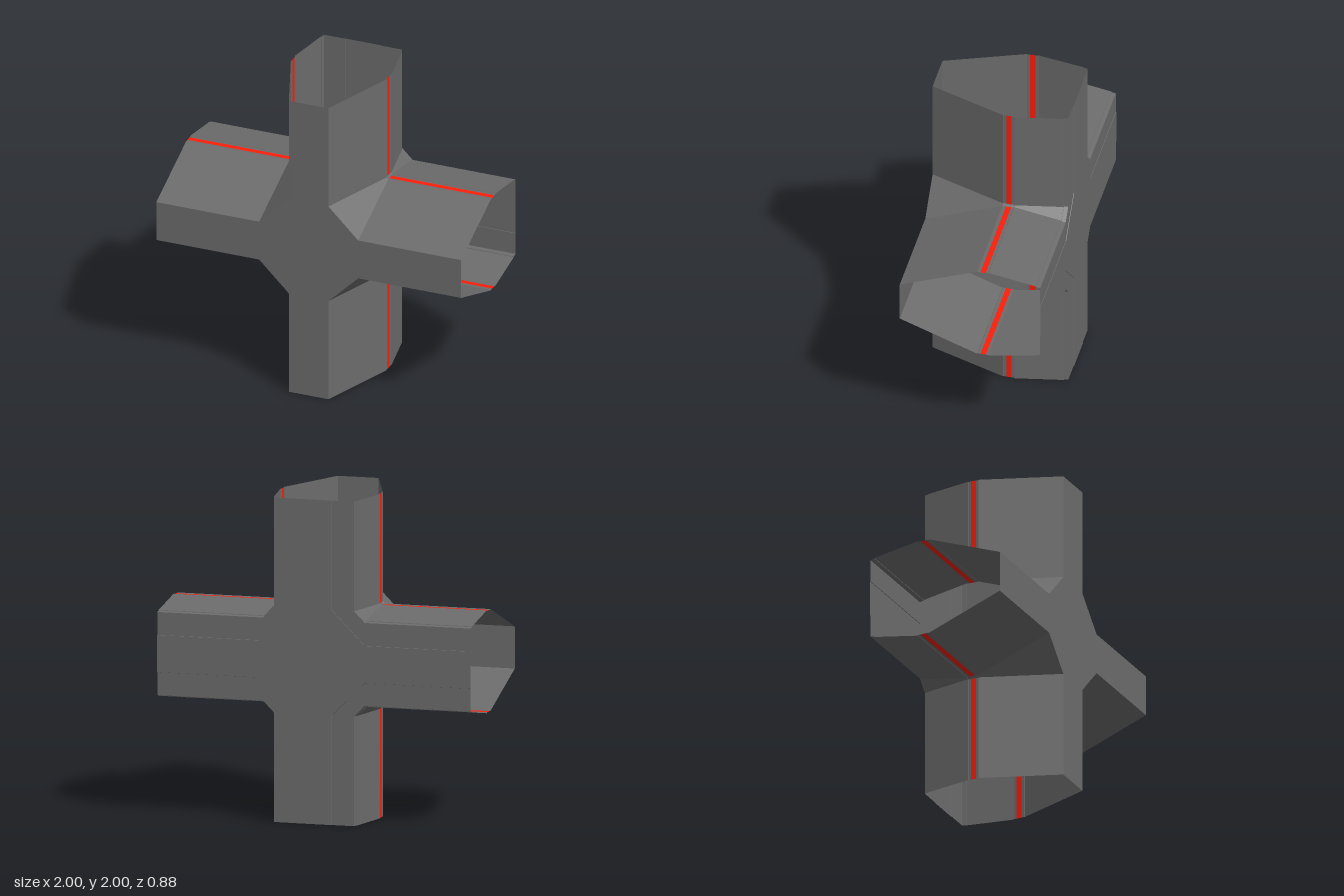
import * as THREE from 'three';

const HUB = 0.325; // distance from the centre at which each arm begins
const END = 1;

// half of the tunnel cross-section, front to back: [half width, z]
const half = [
  [0.13, 0.44], [0.314, -0.043], [0.311, -0.045], [0.312, -0.064], [0.313, -0.097],
  [0.313, -0.113], [0.317, -0.115], [0.265, -0.41], [0.261, -0.411], [0.256, -0.437],
  [0.115, -0.437], [0.114, -0.44],
];
const STRIPE = 3; // index of the segment that carries the red stripe
const profile = [...half, ...half.map(([w, z]) => [-w, z]).reverse()];
const n = profile.length;
const isStripe = (i) => i === STRIPE || i === n - 2 - STRIPE;

// flat-faced geometry from a list of four-cornered faces
function facesToGeometry(quads) {
  const pos = [];
  for (const [a, b, c, d] of quads) pos.push(...a, ...b, ...c, ...a, ...c, ...d);
  const geometry = new THREE.BufferGeometry();
  geometry.setAttribute('position', new THREE.Float32BufferAttribute(pos, 3));
  geometry.computeVertexNormals();
  return geometry;
}

// straight arm pointing up, only the segments that pass the filter
function armGeometry(filter) {
  const quads = [];
  for (let i = 0; i < n; i++) {
    if (!filter(i)) continue;
    const [w0, z0] = profile[i];
    const [w1, z1] = profile[(i + 1) % n];
    quads.push([[w0, HUB, z0], [w1, HUB, z1], [w1, END, z1], [w0, END, z0]]);
  }
  return facesToGeometry(quads);
}

// chamfered wall joining two neighbouring arms
function cornerGeometry() {
  const quads = [];
  for (let i = 0; i < half.length - 1; i++) {
    const [w0, z0] = half[i];
    const [w1, z1] = half[i + 1];
    quads.push([[HUB, w0, z0], [HUB, w1, z1], [w1, HUB, z1], [w0, HUB, z0]]);
  }
  return facesToGeometry(quads);
}

// eight-sided plate closing the crossing
function hubPlate(w) {
  const shape = new THREE.Shape([
    [HUB, -w], [HUB, w], [w, HUB], [-w, HUB],
    [-HUB, w], [-HUB, -w], [-w, -HUB], [w, -HUB],
  ].map(([x, y]) => new THREE.Vector2(x, y)));
  return new THREE.ShapeGeometry(shape);
}

export function createModel() {
  const grey = new THREE.MeshStandardMaterial({ color: 0x6c6c6c, flatShading: true, side: THREE.DoubleSide });
  const red = new THREE.MeshStandardMaterial({ color: 0xfa1e0a, flatShading: true, side: THREE.DoubleSide });

  const model = new THREE.Group();
  model.name = 'corridorCrossing';
  const add = (parent, name, geometry, material) => {
    const mesh = new THREE.Mesh(geometry, material);
    mesh.name = name;
    parent.add(mesh);
    return mesh;
  };

  // four open arms with their side stripes, and the corners between them
  const shell = armGeometry((i) => !isStripe(i));
  const stripes = armGeometry(isStripe);
  const corner = cornerGeometry();
  ['top', 'right', 'bottom', 'left'].forEach((side, k) => {
    const arm = new THREE.Group();
    arm.name = side + 'Arm';
    arm.position.y = 1;
    arm.rotation.z = (k * Math.PI) / 2;
    add(arm, 'armShell', shell, grey);
    add(arm, 'armStripes', stripes, red);
    add(arm, 'cornerWall', corner, grey);
    model.add(arm);
  });

  // front and back plates of the crossing
  const [frontW, frontZ] = half[0];
  add(model, 'frontHubPlate', hubPlate(frontW), grey).position.set(0, 1, frontZ);
  const [backW, backZ] = half[half.length - 1];
  const back = add(model, 'backHubPlate', hubPlate(backW), grey);
  back.position.set(0, 1, backZ);
  back.rotation.y = Math.PI;

  return model;
}
